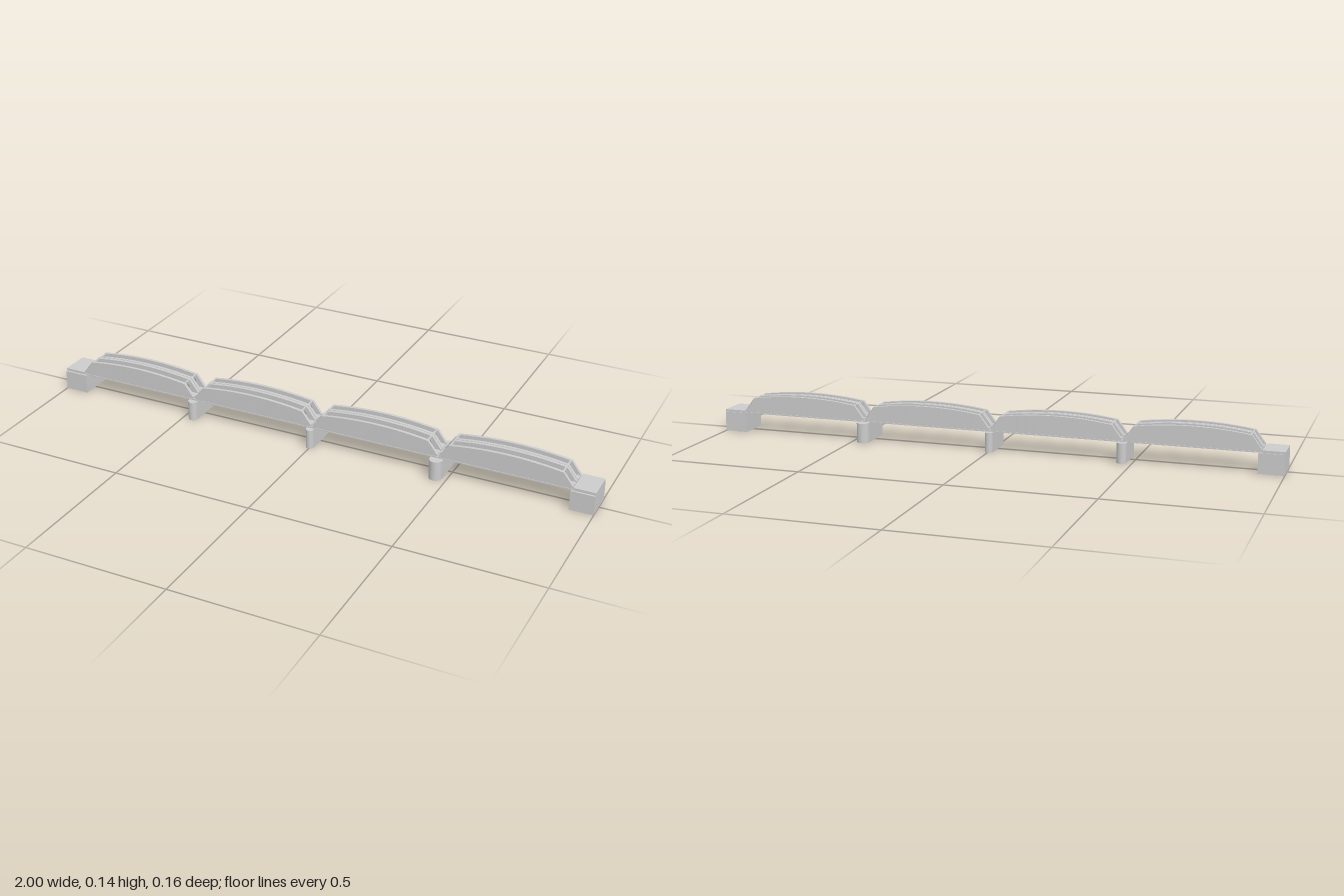
import * as THREE from 'three';

const material = new THREE.MeshStandardMaterial({ color: 0xcccccc });
const BASE = 0.068, DECK = 0.078, CROWN = 0.139, SHOULDER = 0.124;
const HALF = 0.228; // half length of one span
const GIRDERS = [0.0425, 0.006, -0.007, -0.041];

function add(parent, name, geometry, x = 0, y = 0, z = 0) {
  const mesh = new THREE.Mesh(geometry, material);
  mesh.name = name;
  mesh.position.set(x, y, z);
  parent.add(mesh);
  return mesh;
}

function box(parent, name, x0, x1, y0, y1, z0, z1) {
  return add(parent, name, new THREE.BoxGeometry(x1 - x0, y1 - y0, z1 - z0),
    (x0 + x1) / 2, (y0 + y1) / 2, (z0 + z1) / 2);
}

function extrude(shape, depth) {
  const g = new THREE.ExtrudeGeometry(shape, { depth, bevelEnabled: false, curveSegments: 12 });
  return g.translate(0, 0, -depth / 2);
}

// Height of the bowed top edge at a distance from mid-span
const END = HALF - 0.033;
function topAt(x) {
  const t = Math.abs(x) / END;
  if (t <= 1) return CROWN - (CROWN - SHOULDER) * t * t;
  return THREE.MathUtils.lerp(SHOULDER, DECK + 0.002, (Math.abs(x) - END) / (HALF - END));
}

// Points of the top edge, from left end to right end
function topEdge(drop = 0) {
  const pts = [new THREE.Vector2(-HALF, topAt(HALF) - drop)];
  for (let i = 0; i <= 12; i++) {
    const x = -END + (2 * END * i) / 12;
    pts.push(new THREE.Vector2(x, topAt(x) - drop));
  }
  pts.push(new THREE.Vector2(HALF, topAt(HALF) - drop));
  return pts;
}

function createGirder() {
  const girder = new THREE.Group();
  girder.name = 'girder';
  // Solid web
  const web = new THREE.Shape([...topEdge(0.001), new THREE.Vector2(HALF, BASE), new THREE.Vector2(-HALF, BASE)]);
  add(girder, 'web', extrude(web, 0.007));
  // Flanges along the bowed top and the straight bottom
  const flange = new THREE.Shape([...topEdge(), ...topEdge(0.004).reverse()]);
  add(girder, 'topFlange', extrude(flange, 0.011));
  box(girder, 'bottomFlange', -HALF, HALF, BASE, BASE + 0.004, -0.0055, 0.0055);
  // Upright stiffeners on both faces
  for (let i = 0; i < 14; i++) {
    const x = -END + (2 * END * i) / 13;
    box(girder, 'stiffener', x - 0.001, x + 0.001, BASE, topAt(x) - 0.003, -0.0048, 0.0048);
  }
  return girder;
}

// Cross beam with a knee gusset at each side, spanning z0 to z1
function createPortal(z0, z1) {
  const w = z1 - z0;
  const s = new THREE.Shape();
  s.moveTo(0, 0.124);
  s.lineTo(0, 0.096);
  s.lineTo(w / 2 - 0.001, 0.117);
  s.lineTo(w / 2 + 0.001, 0.117);
  s.lineTo(w, 0.096);
  s.lineTo(w, 0.124);
  const g = extrude(s, 0.006);
  g.rotateY(-Math.PI / 2);
  g.translate(0, 0, z0);
  return g;
}

function createSpan() {
  const span = new THREE.Group();
  span.name = 'span';
  for (const z of GIRDERS) {
    const girder = createGirder();
    girder.position.z = z;
    span.add(girder);
  }
  for (const end of [-1, 1]) {
    add(span, 'portal', createPortal(0.0105, 0.038), end * (END - 0.004));
    add(span, 'portal', createPortal(-0.0365, -0.0115), end * (END - 0.004));
  }
  // Floor plates and the beams below them
  for (const [z0, z1] of [[0.010, 0.038], [-0.037, -0.011]]) {
    box(span, 'floor', -HALF, HALF, 0.074, DECK, z0, z1);
    const mid = (z0 + z1) / 2;
    for (const dz of [-0.005, 0.005]) {
      box(span, 'stringer', -HALF, HALF, BASE + 0.001, 0.075, mid + dz - 0.001, mid + dz + 0.001);
    }
  }
  box(span, 'centreFloor', -HALF, HALF, 0.074, DECK, -0.004, 0.003);
  return span;
}

// Upright wall with rounded noses
function createPier(r, reach) {
  const s = new THREE.Shape();
  const straight = reach - r;
  s.moveTo(r, -straight);
  s.lineTo(r, straight);
  s.absarc(0, straight, r, 0, Math.PI);
  s.lineTo(-r, -straight);
  s.absarc(0, -straight, r, Math.PI, 2 * Math.PI);
  const g = new THREE.ExtrudeGeometry(s, { depth: BASE + 0.001, bevelEnabled: false, curveSegments: 16 });
  return g.rotateX(-Math.PI / 2);
}

export function createModel() {
  const model = new THREE.Group();
  model.name = 'bridge';

  // Four equal spans
  for (let i = 0; i < 4; i++) {
    const span = createSpan();
    span.position.x = (i - 1.5) * 0.463;
    model.add(span);
  }

  // Piers, the last one stouter
  for (const [x, r, reach] of [[-0.464, 0.017, 0.071], [-0.002, 0.014, 0.07], [0.461, 0.0225, 0.08]]) {
    add(model, 'pier', createPier(r, reach), x);
    box(model, 'bearing', x - 0.012, x + 0.012, BASE, 0.074, -0.046, 0.048);
  }

  // End abutments with a low approach slab
  for (const side of [-1, 1]) {
    const inner = side < 0 ? 0.913 : 0.918;
    const [x0, x1] = side < 0 ? [-1, -inner] : [inner, 1];
    box(model, 'abutment', x0, x1, 0, BASE + 0.001, -0.055, 0.056);
    const [a, b] = side < 0 ? [-1, -0.925] : [0.925, 1];
    box(model, 'approachSlab', a, b, BASE, DECK, -0.052, 0.049);
  }
  return model;
}
